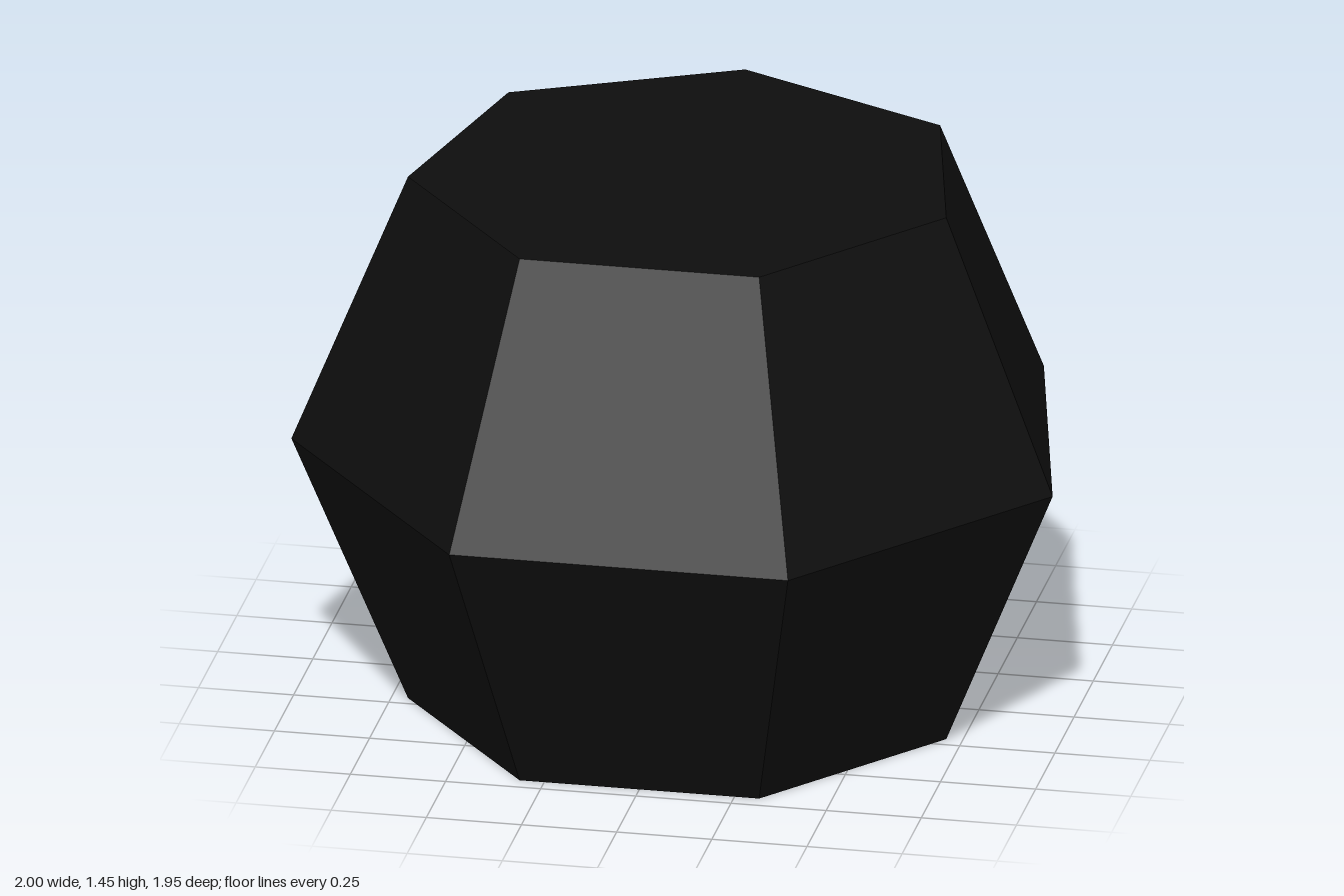
import * as THREE from 'three';

export function createModel() {
  const group = new THREE.Group();
  group.name = 'facetedGem';

  const charcoal = new THREE.MeshStandardMaterial({ color: 0x0e0e0e, flatShading: true });
  charcoal.name = 'charcoal';

  // Seven-sided sphere cut flat at 45 degrees above and below its equator
  const R = 1.0257;
  const r = R * Math.SQRT1_2;
  const profile = [
    [0, 0], [r, 0], [R, r], [r, 2 * r], [0, 2 * r],
  ].map(([x, y]) => new THREE.Vector2(x, y));

  // One corner points to the back, one flat side faces the front
  const geometry = new THREE.LatheGeometry(profile, 7, Math.PI).toNonIndexed();
  geometry.computeVertexNormals();

  const body = new THREE.Mesh(geometry, charcoal);
  body.name = 'facetedBody';
  body.position.z = R - 0.975;
  group.add(body);
  return group;
}
